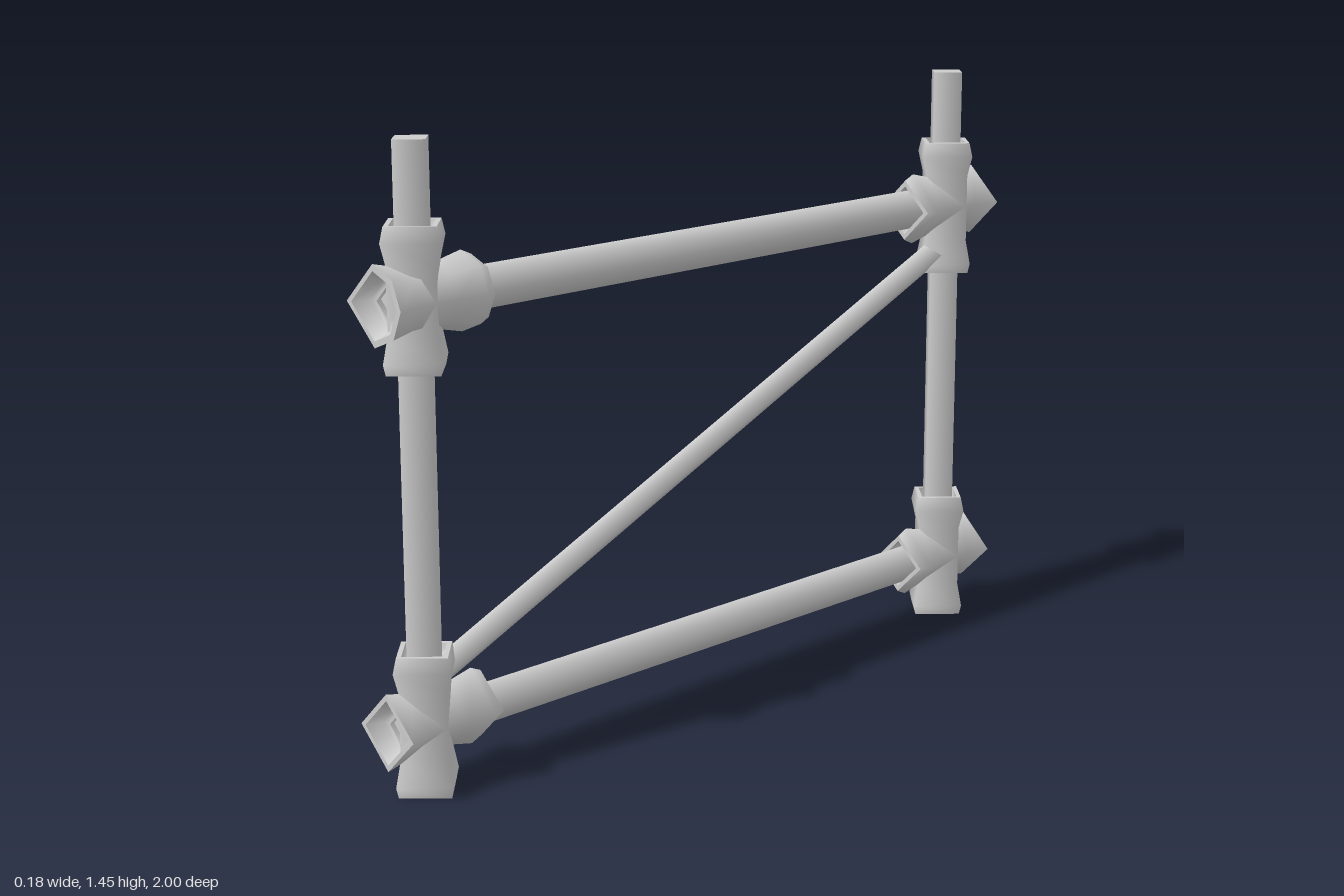
import * as THREE from 'three';

const grey = new THREE.MeshStandardMaterial({ color: 0xcccccc, side: THREE.DoubleSide });

// Four-sided tube between two points in the plane x = 0, corners on the axes
function bar(name, a, b, radius) {
  const from = new THREE.Vector3(0, a[0], a[1]);
  const to = new THREE.Vector3(0, b[0], b[1]);
  const dir = to.clone().sub(from);
  const mesh = new THREE.Mesh(new THREE.CylinderGeometry(radius, radius, dir.length(), 4), grey);
  mesh.name = name;
  mesh.position.copy(from).add(to).multiplyScalar(0.5);
  mesh.quaternion.setFromUnitVectors(new THREE.Vector3(0, 1, 0), dir.normalize());
  return mesh;
}

// Revolved profile of [radius, height]: two facets on -x, `sides` facets on +x
function revolve(name, profile, sides) {
  const points = profile.map(([r, y]) => new THREE.Vector2(r, y));
  const group = new THREE.Group();
  group.name = name;
  for (const [count, start] of [[sides, 0], [2, Math.PI]]) {
    group.add(new THREE.Mesh(new THREE.LatheGeometry(points, count, start, Math.PI), grey));
  }
  return group;
}

// Flared sleeve along y; each end is a lip with a recess, or a flat cap
function sleeve(name, profile, capTop, sides = 2) {
  const group = new THREE.Group();
  group.name = name;
  group.add(revolve('shell', profile, sides));
  const ends = [[profile[0], 1, false], [profile[profile.length - 1], -1, capTop]];
  for (const [[r, y], inward, capped] of ends) {
    if (capped) {
      group.add(revolve('cap', [[0.001, y], [r, y]], sides));
    } else {
      group.add(revolve('lip', [[r, y], [r - 0.015, y]], sides));
      group.add(revolve('recess', [[r - 0.015, y], [0.06, y + inward * 0.04], [0.04, y + inward * 0.04]], sides));
    }
  }
  return group;
}

export function createModel() {
  const model = new THREE.Group();
  const Z = 0.89, LOW = 0.16, HIGH = 1.11;

  for (const s of [1, -1]) {
    const end = s > 0 ? 'front' : 'back';
    model.add(bar(end + 'Post', [0.03, s * Z], [1.455, s * Z], 0.05));

    for (const y of [LOW, HIGH]) {
      const upper = y === HIGH;
      const level = upper ? 'Upper' : 'Lower';
      const bottom = !upper ? -0.16 : s > 0 ? -0.155 : -0.175;

      // Upright sleeve around the post
      const upright = sleeve(end + level + 'PostSleeve', [
        [0.083, bottom], [0.09, bottom + 0.025], [0.075, bottom + 0.085],
        [0.075, 0.08], [0.09, 0.13], [0.08, 0.165],
      ], false);
      upright.position.set(0, y, s * Z);

      // Horizontal sleeve around the rail, its outer end capped at the back
      const arm = sleeve(end + level + 'RailSleeve', [
        [0.077, -0.16], [0.09, -0.13], [0.074, -0.06], [0.074, 0.04], [0.09, 0.11],
      ], s < 0, upper && s > 0 ? 4 : 2);
      arm.rotation.x = s * Math.PI / 2;
      arm.position.set(0, y, s * Z);
      model.add(upright, arm);
    }
  }

  // Rails and diagonal brace
  model.add(bar('lowerRail', [LOW - 0.005, 0.94], [LOW - 0.005, -0.94], 0.05));
  model.add(bar('upperRail', [HIGH, 0.94], [HIGH, -0.94], 0.05));
  model.add(bar('diagonalBrace', [0.255, 0.87], [0.995, -0.87], 0.035));
  return model;
}
